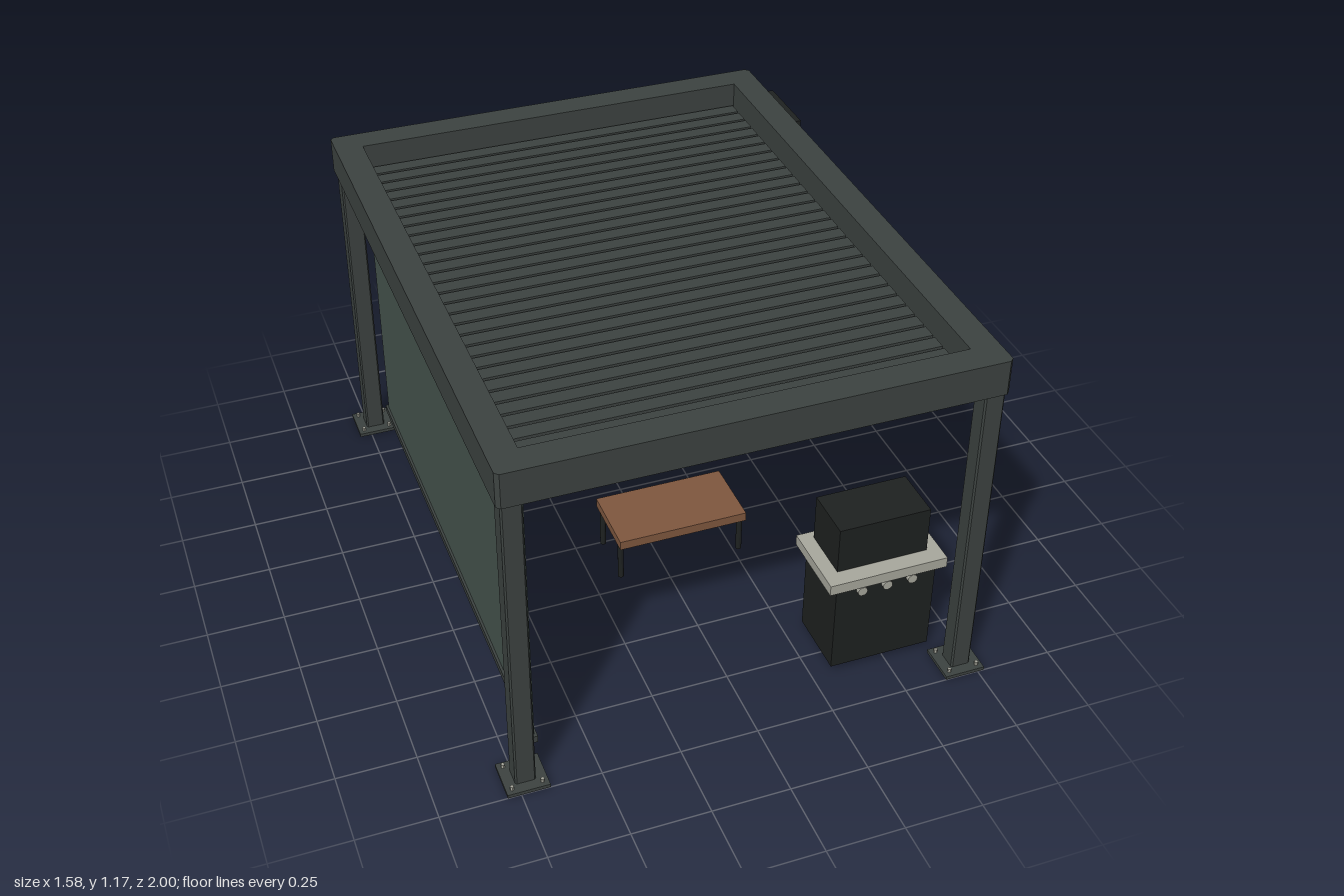
import * as THREE from 'three';

const mat = (color) => new THREE.MeshStandardMaterial({ color, flatShading: true });
const FRAME = mat(0x3d4341), SCREEN = mat(0x46544e), BLACK = mat(0x1e2120), BEIGE = mat(0xc2bcae);
const WOOD = mat(0x80583f), PILLOW = mat(0x5c6c63), STEEL = mat(0xa9a99e), LIGHT = mat(0xd8c8a8);

// Box given by its limits on each axis
function box(parent, name, material, [x0, x1], [y0, y1], [z0, z1]) {
  const mesh = new THREE.Mesh(new THREE.BoxGeometry(x1 - x0, y1 - y0, z1 - z0), material);
  mesh.position.set((x0 + x1) / 2, (y0 + y1) / 2, (z0 + z1) / 2);
  mesh.name = name;
  parent.add(mesh);
  return mesh;
}

function cylinder(parent, name, material, r, h, x, y, z, sides = 16) {
  const mesh = new THREE.Mesh(new THREE.CylinderGeometry(r, r, h, sides), material);
  mesh.position.set(x, y, z);
  mesh.name = name;
  parent.add(mesh);
  return mesh;
}

// Rectangle with cut corners
function cutRect(hx, hz, c) {
  return new THREE.Shape([
    [hx - c, -hz], [hx, -hz + c], [hx, hz - c], [hx - c, hz],
    [-hx + c, hz], [-hx, hz - c], [-hx, -hz + c], [-hx + c, -hz],
  ].map(([x, y]) => new THREE.Vector2(x, y)));
}

// Upright extrusion of a plan shape
function upright(parent, name, material, shape, y0, y1, x, z) {
  const geo = new THREE.ExtrudeGeometry(shape, { depth: y1 - y0, bevelEnabled: false });
  geo.rotateX(-Math.PI / 2);
  const mesh = new THREE.Mesh(geo, material);
  mesh.position.set(x, y0, z);
  mesh.name = name;
  parent.add(mesh);
}

function group(parent, name) {
  const g = new THREE.Group();
  g.name = name;
  parent.add(g);
  return g;
}

export function createModel() {
  const model = new THREE.Group();
  model.name = 'pergola';
  const cx = -0.01;

  // Posts with bolted foot plates
  for (const sx of [-1, 1]) for (const sz of [-1, 1]) {
    const post = group(model, 'post');
    post.position.set(cx + sx * 0.716, 0, sz * 0.934);
    upright(post, 'postShaft', FRAME, cutRect(0.032, 0.032, 0.005), 0.01, 1.07, 0, 0);
    box(post, 'footPlate', FRAME, [-0.066, 0.066], [0, 0.012], [-0.066, 0.066]);
    for (const bx of [-1, 1]) for (const bz of [-1, 1])
      cylinder(post, 'footBolt', STEEL, 0.006, 0.014, bx * 0.047, 0.018, bz * 0.047, 6);
  }

  // Roof frame with an open centre
  const ring = cutRect(0.759, 0.974, 0.012);
  ring.holes.push(new THREE.Path([[-0.668, -0.88], [-0.668, 0.88], [0.668, 0.88], [0.668, -0.88]]
    .map(([x, y]) => new THREE.Vector2(x, y))));
  upright(model, 'roofFrame', FRAME, ring, 1.06, 1.175, cx, 0);

  // Louvre slats
  const louvres = group(model, 'louvres');
  const count = 29, pitch = 0.06;
  for (let i = 0; i < count; i++) {
    const z = (i - (count - 1) / 2) * pitch;
    box(louvres, 'slat', FRAME, [-0.668, 0.648], [1.08, 1.1], [z - 0.0245, z + 0.0245]);
  }

  // Light strips under the frame
  const lights = group(model, 'lightStrips');
  for (const s of [-1, 1]) {
    box(lights, 'lightStripAcross', LIGHT, [-0.678, 0.658], [1.048, 1.06], [s * 0.88 - 0.005, s * 0.88 + 0.005]);
    const x = cx + s * 0.664;
    box(lights, 'lightStripAlong', LIGHT, [x - 0.006, x + 0.006], [1.048, 1.06], [-0.87, 0.87]);
  }

  // Roller screens with weighted bottom bars
  box(model, 'backScreen', SCREEN, [-0.675, 0.65], [0.1, 1.02], [-0.88, -0.872]);
  box(model, 'backScreenBar', FRAME, [-0.68, 0.658], [0.08, 0.104], [-0.888, -0.864]);
  box(model, 'sideScreen', SCREEN, [-0.677, -0.669], [0.1, 1.02], [-0.875, 0.877]);
  box(model, 'sideScreenBar', FRAME, [-0.685, -0.661], [0.08, 0.104], [-0.888, 0.888]);

  // Control box on the side of the frame
  box(model, 'controlBox', BLACK, [0.745, 0.79], [1.06, 1.147], [-0.84, -0.595]);

  // Corner sofa
  const sofa = group(model, 'sofa');
  box(sofa, 'sofaBase', BLACK, [-0.61, 0.355], [0.1, 0.175], [-0.845, -0.555]);
  box(sofa, 'chaiseBase', BLACK, [-0.61, -0.32], [0.1, 0.175], [-0.555, -0.235]);
  box(sofa, 'seatCushion', BEIGE, [-0.59, 0.335], [0.175, 0.25], [-0.8, -0.565]);
  box(sofa, 'chaiseCushion', BEIGE, [-0.587, -0.345], [0.175, 0.262], [-0.565, -0.26]);
  box(sofa, 'backrest', BEIGE, [-0.59, 0.335], [0.22, 0.48], [-0.835, -0.773]);
  for (const x of [-0.365, 0.139])
    box(sofa, 'pillow', PILLOW, [x - 0.089, x + 0.089], [0.285, 0.46], [-0.774, -0.724]);

  // Coffee table
  const table = group(model, 'coffeeTable');
  box(table, 'tableTop', WOOD, [-0.167, 0.278], [0.148, 0.18], [-0.018, 0.225]);
  for (const x of [-0.156, 0.267]) for (const z of [0.015, 0.195])
    cylinder(table, 'tableLeg', BLACK, 0.01, 0.14, x, 0.08, z, 12);

  // Grill
  const grill = group(model, 'grill');
  box(grill, 'grillCabinet', BLACK, [0.313, 0.648], [0.025, 0.346], [0.622, 0.845]);
  box(grill, 'grillShelf', STEEL, [0.283, 0.677], [0.345, 0.381], [0.605, 0.863]);
  box(grill, 'grillLid', BLACK, [0.33, 0.633], [0.381, 0.541], [0.632, 0.807]);
  for (let i = 0; i < 3; i++) {
    const knob = cylinder(grill, 'knob', STEEL, 0.016, 0.014, 0.396 + i * 0.0845, 0.324, 0.852);
    knob.rotation.x = Math.PI / 2;
  }
  return model;
}
